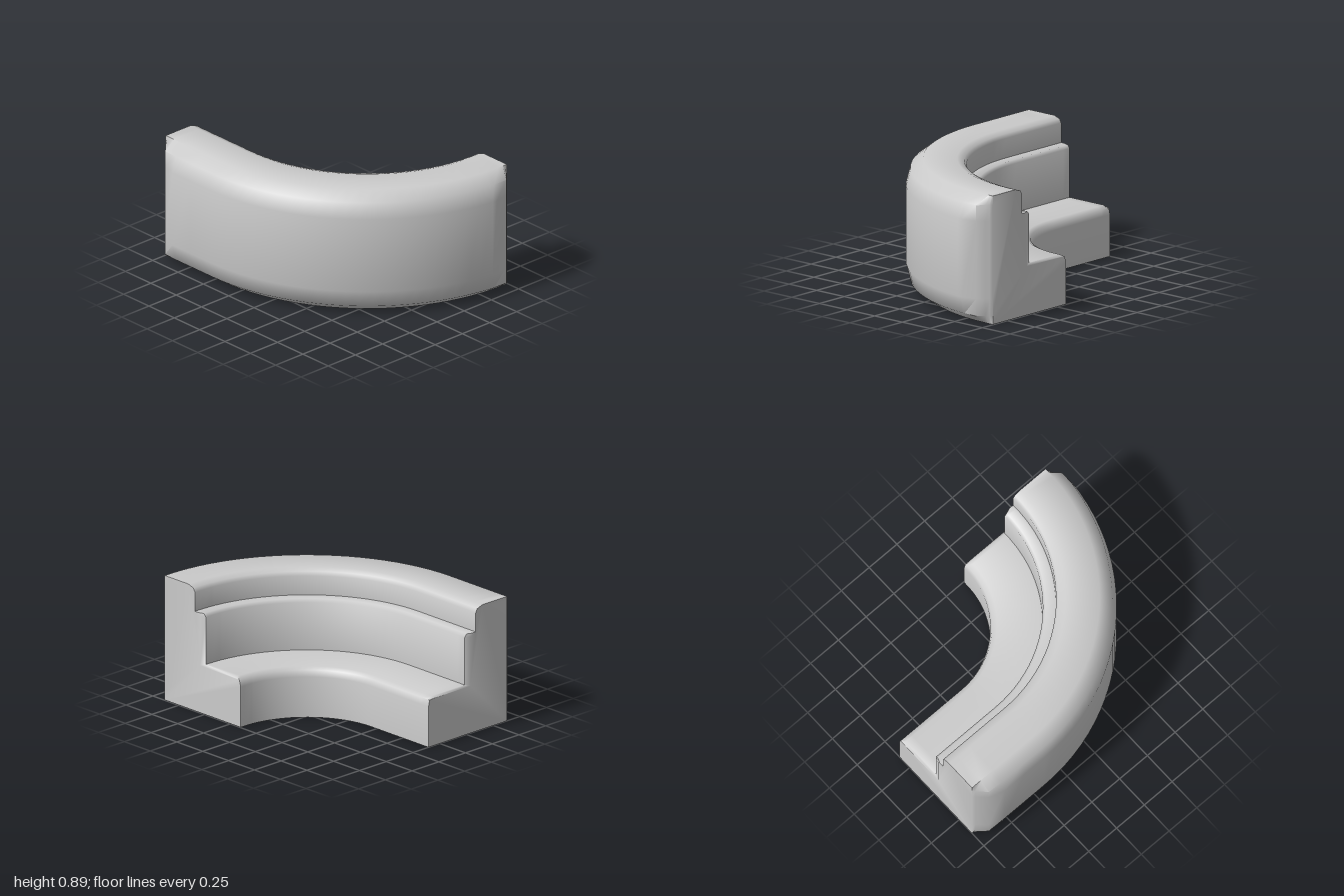
import * as THREE from 'three';
import { toCreasedNormals } from 'three/addons/utils/BufferGeometryUtils.js';

// Cross-section [distance from the bend centre, height]: seat, backrest, rounded outer shell
const PROFILE = [
  [0.605, 0], [0.605, 0.29], [0.617, 0.335], [0.65, 0.352],
  [0.958, 0.352], [0.958, 0.692], [0.975, 0.714],
  [1.047, 0.714], [1.047, 0.85], [1.062, 0.877], [1.11, 0.893],
  [1.34, 0.893], [1.425, 0.83], [1.455, 0.72],
  [1.455, 0.18], [1.425, 0.06], [1.34, 0],
];
const SEAT_TOP = [3, 4], BACK_FRONT = [4, 5, 6]; // points moved at the end bevels
const CX = 0.71, CZ = -0.45; // bend centre
const X_END = 0.745;

// Section at a given distance from the nearest end: outer shell and cushions taper there
function section(fromEnd) {
  const limit = fromEnd < 0.08 ? 1.34 + fromEnd
    : Math.min(1.455, 1.42 + (fromEnd - 0.08) * 0.32);
  const bevel = Math.max(0, 1 - fromEnd / 0.015);
  return PROFILE.map(([r, y], i) => {
    if (BACK_FRONT.includes(i)) r += 0.04 * bevel;
    if (SEAT_TOP.includes(i)) y -= 0.012 * bevel;
    return [Math.min(r, limit), y];
  });
}

// Stations along the sweep: straight run, quarter bend, short straight run
function stations() {
  const list = [];
  for (const d of [0, 0.015, 0.08, 0.19, 0.37]) list.push({ angle: 0, x: CX, z: -1 + d, end: d });
  const steps = 24, tail = X_END - CX;
  const angles = [];
  for (let i = 0; i <= steps - 2; i++) angles.push((i / steps) * Math.PI / 2);
  angles.push(Math.PI / 2 - 0.107, Math.PI / 2 - 0.031, Math.PI / 2);
  for (const angle of angles) {
    const end = angle < 0.8 ? 1 : tail + (Math.PI / 2 - angle) * 1.455;
    list.push({ angle, x: CX, z: CZ, end });
  }
  for (const d of [0.015, 0]) list.push({ angle: Math.PI / 2, x: X_END - d, z: CZ, end: d });
  return list;
}

function sweepGeometry() {
  const n = PROFILE.length, rows = stations(), positions = [], index = [];
  for (const s of rows) {
    for (const [r, y] of section(s.end)) {
      positions.push(s.x - Math.cos(s.angle) * r, y, s.z + Math.sin(s.angle) * r);
    }
  }
  // Skin between neighbouring sections, left open underneath
  for (let i = 0; i < rows.length - 1; i++) {
    for (let j = 0; j < n - 1; j++) {
      const a = i * n + j, b = a + 1, c = a + n, d = b + n;
      index.push(a, b, c, b, d, c);
    }
  }
  // Flat end caps
  const contour = section(0).map(([r, y]) => new THREE.Vector2(r, y)).reverse();
  const last = (rows.length - 1) * n;
  for (const tri of THREE.ShapeUtils.triangulateShape(contour, [])) {
    const [a, b, c] = tri.map((t) => n - 1 - t);
    index.push(a, b, c, last + a, last + c, last + b);
  }
  const geometry = new THREE.BufferGeometry();
  geometry.setAttribute('position', new THREE.Float32BufferAttribute(positions, 3));
  geometry.setIndex(index);
  return toCreasedNormals(geometry, 0.95);
}

export function createModel() {
  const group = new THREE.Group();
  group.name = 'curvedSofaSection';
  const material = new THREE.MeshStandardMaterial({ color: 0xcccccc, side: THREE.DoubleSide });
  const body = new THREE.Mesh(sweepGeometry(), material);
  body.name = 'seatAndBackrest';
  group.add(body);
  return group;
}
